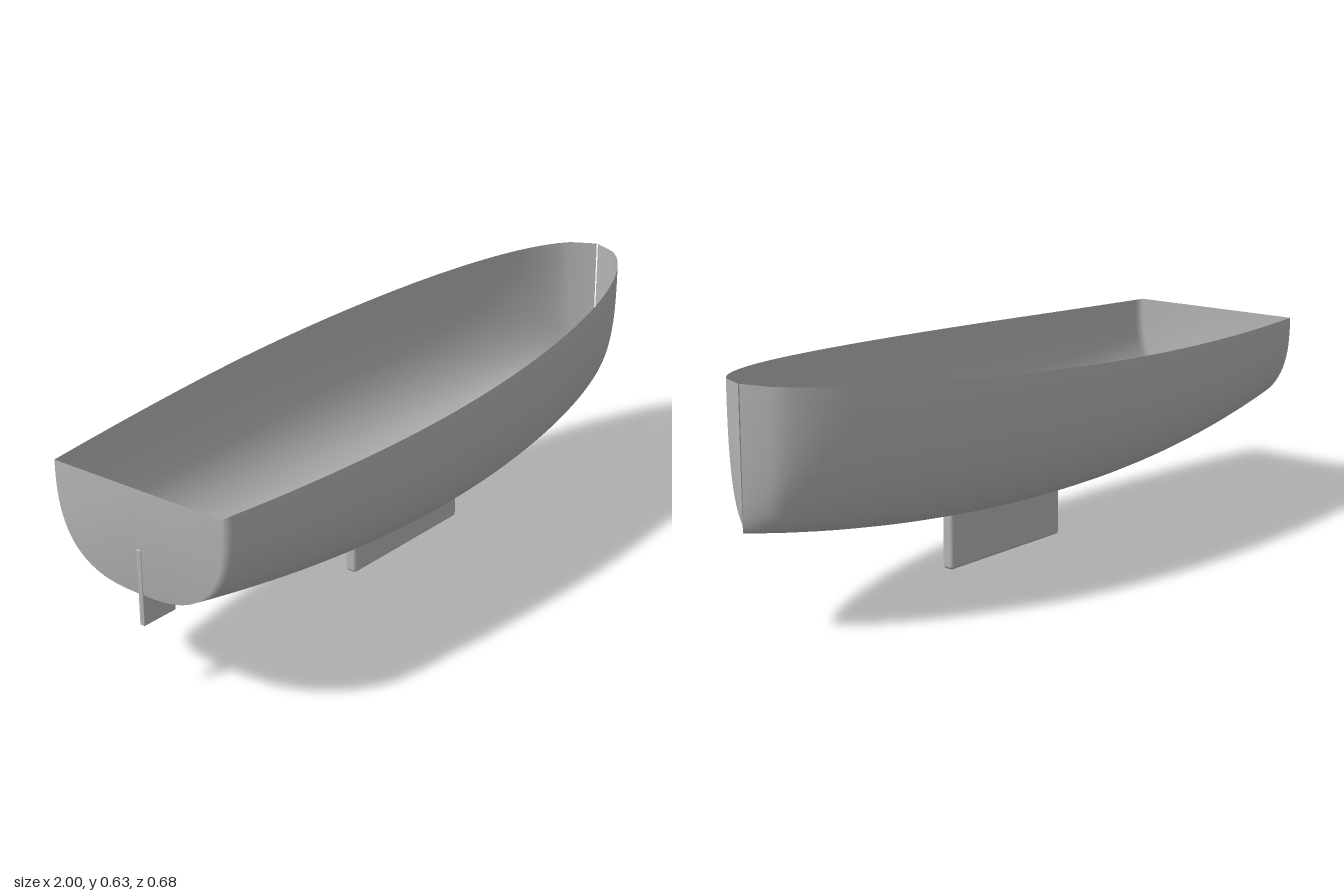
import * as THREE from 'three';
import { RoundedBoxGeometry } from 'three/addons/geometries/RoundedBoxGeometry.js';

const STERN = -0.998, BOW = 1;
const STATIONS = 64, RIBS = 48;

// Hull lines along the length
const keelLine = (x) => 0.172 + 0.093 * x * x;
const sheerLine = (x) => 0.545 + 0.085 * Math.pow((x + 1) / 2, 1.8);
function halfBeam(x) {
  if (x < -0.2) return 0.341 - 0.068 * Math.pow((-0.2 - x) / 0.8, 1.75);
  const u = (x + 0.2) / 1.2;
  return Math.max(0.002, 0.341 * Math.sqrt(Math.max(0, 1 - u * u)));
}

// Open shell lofted from superellipse sections, closed by a flat transom that shares its rim
function hullGeometry() {
  const positions = [], indices = [];
  const row = RIBS + 1, power = 2 / 2.78;
  for (let i = 0; i <= STATIONS; i++) {
    const x = STERN + (BOW - STERN) * i / STATIONS;
    const top = sheerLine(x), depth = top - keelLine(x), beam = halfBeam(x);
    for (let j = 0; j <= RIBS; j++) {
      const a = Math.PI * j / RIBS;
      const c = Math.cos(a), s = Math.max(0, Math.sin(a));
      positions.push(
        x,
        top - depth * Math.pow(s, power),
        beam * Math.sign(c) * Math.pow(Math.abs(c), power)
      );
    }
  }
  for (let i = 0; i < STATIONS; i++) {
    for (let j = 0; j < RIBS; j++) {
      const a = i * row + j, b = a + row;
      indices.push(a, a + 1, b, b, a + 1, b + 1);
    }
  }
  // transom fan from the middle of its top edge
  const hub = positions.length / 3;
  positions.push(STERN, sheerLine(STERN), 0);
  for (let j = 0; j < RIBS; j++) indices.push(hub, j + 1, j);

  const geometry = new THREE.BufferGeometry();
  geometry.setAttribute('position', new THREE.Float32BufferAttribute(positions, 3));
  geometry.setIndex(indices);
  geometry.computeVertexNormals();
  return geometry;
}

export function createModel() {
  const boat = new THREE.Group();
  boat.name = 'boat';
  const grey = new THREE.MeshStandardMaterial({ color: 0xb4b4b4, side: THREE.DoubleSide });
  grey.name = 'plain grey';

  const add = (name, geometry, x, y) => {
    const mesh = new THREE.Mesh(geometry, grey);
    mesh.name = name;
    mesh.position.set(x, y, 0);
    boat.add(mesh);
  };

  add('hull', hullGeometry(), 0, 0);
  // fin and rudder both pass slightly through the shell
  add('keelFin', new RoundedBoxGeometry(0.465, 0.2, 0.036, 3, 0.01), 0.03, 0.1);
  add('rudder', new RoundedBoxGeometry(0.11, 0.205, 0.016, 2, 0.003), -0.945, 0.2825);
  return boat;
}
